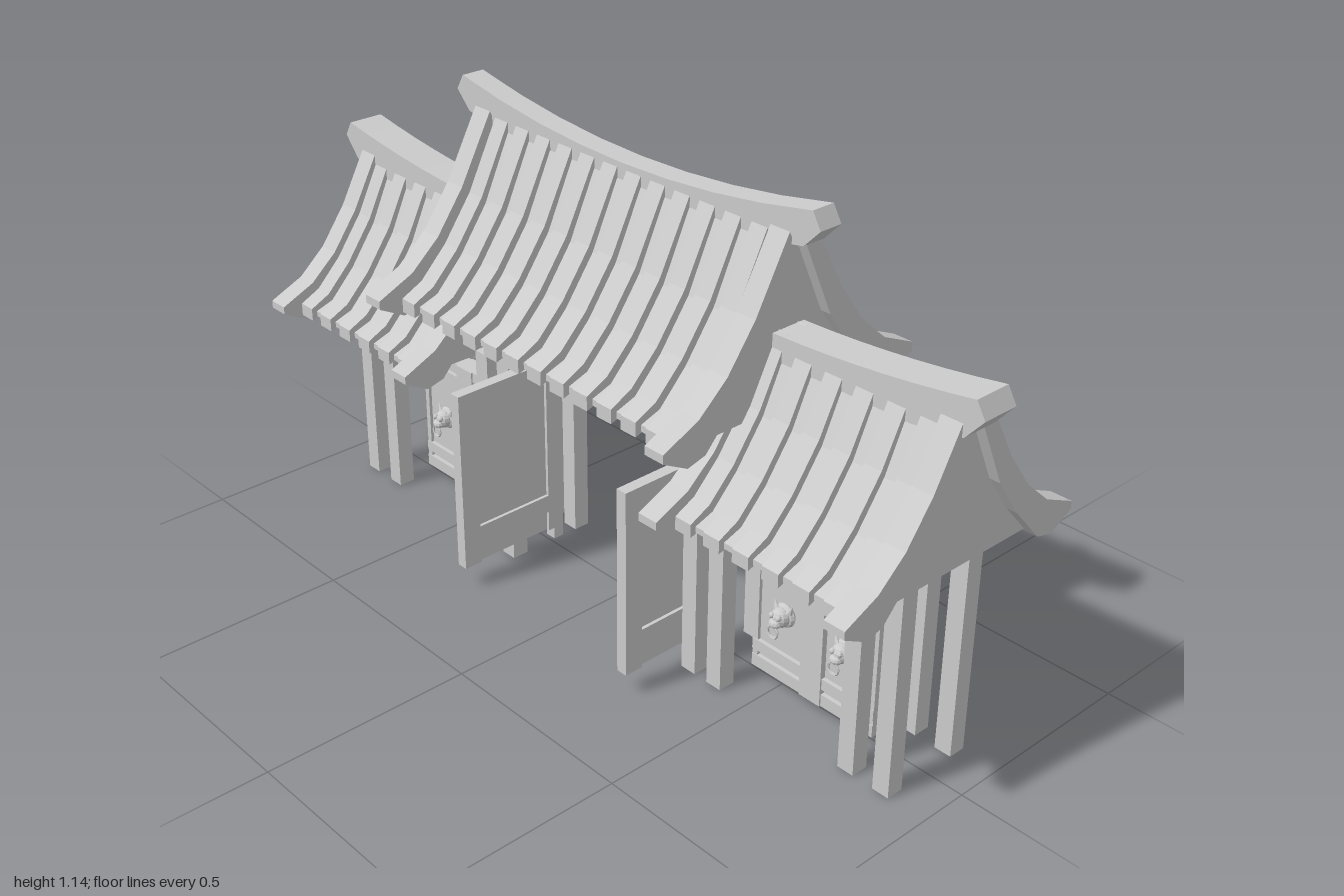
import * as THREE from 'three';

const material = new THREE.MeshStandardMaterial({ color: 0xcccccc, flatShading: true });

function add(parent, name, geometry, x = 0, y = 0, z = 0) {
  const mesh = new THREE.Mesh(geometry, material);
  mesh.name = name;
  mesh.position.set(x, y, z);
  parent.add(mesh);
  return mesh;
}

// Box given by its minimum and maximum on each axis
function box(parent, name, [x0, x1], [y0, y1], [z0, z1]) {
  return add(parent, name, new THREE.BoxGeometry(x1 - x0, y1 - y0, z1 - z0),
    (x0 + x1) / 2, (y0 + y1) / 2, (z0 + z1) / 2);
}

function group(parent, name) {
  const g = new THREE.Group();
  g.name = name;
  parent.add(g);
  return g;
}

function extrude(points, depth) {
  const shape = new THREE.Shape(points.map(([a, b]) => new THREE.Vector2(a, b)));
  const geometry = new THREE.ExtrudeGeometry(shape, { depth, bevelEnabled: false });
  return geometry.translate(0, 0, -depth / 2);
}

// Slab whose (z, y) outline runs along x
const slab = (points, width) => extrude(points, width).rotateY(-Math.PI / 2);

// Roof cross-sections as (z, y), front half
const BODY = [[0.295, 0.685], [0.295, 0.7], [0.245, 0.717], [0.175, 0.79], [0.1, 0.895], [0.03, 1.045]];
const RIB = [[0.31, 0.677], [0.31, 0.71], [0.255, 0.737], [0.185, 0.808], [0.11, 0.912], [0.03, 1.07],
  [0.015, 1.05], [0.09, 0.885], [0.165, 0.785], [0.24, 0.7]];
const VERGE = [[0.298, 0.66], [0.364, 0.695], [0.364, 0.715], [0.27, 0.757], [0.195, 0.823], [0.122, 0.923],
  [0.035, 1.083], [0.015, 1.04], [0.095, 0.866], [0.165, 0.766], [0.25, 0.672]];

const same = (p) => p;
const smaller = ([z, y]) => [z * 0.93, 0.51 + (y - 0.69) * 0.93];

// Solid gabled body, tile ribs on both slopes and thick verges at the ends
function roof(parent, name, fit, x0, x1, ribCount, ribInset) {
  const g = group(parent, name);
  const half = BODY.map(fit);
  const outline = [...half, ...half.map(([z, y]) => [-z, y]).reverse()];
  add(g, 'roofBody', slab(outline, x1 - x0), (x0 + x1) / 2);
  const rib = slab(RIB.map(fit), 0.044);
  const verge = slab(VERGE.map(fit), 0.052);
  for (const turn of [0, Math.PI]) {
    for (let i = 0; i < ribCount; i++) {
      const x = THREE.MathUtils.lerp(x0 + ribInset, x1 - ribInset, i / (ribCount - 1));
      add(g, 'tileRib', rib, x).rotation.y = turn;
    }
    for (const x of [x0, x1]) add(g, 'verge', verge, x).rotation.y = turn;
  }
}

// Ridge beam that sweeps upward, outlined in (x, y)
function ridge(parent, name, x0, x1, topAt, height, width, ends) {
  const top = [], bottom = [];
  for (let i = 0; i <= 8; i++) {
    const x = THREE.MathUtils.lerp(x0, x1, i / 8);
    top.push([x, topAt(x)]);
    const inset = ends[0] * (1 - i / 8) - ends[1] * (i / 8);
    bottom.unshift([x + inset, topAt(x) - height]);
  }
  const rightTip = ends[1] ? [[x1 + 0.022, topAt(x1) - 0.037]] : [];
  const leftTip = ends[0] ? [[x0 - 0.022, topAt(x0) - 0.037]] : [];
  add(parent, name, extrude([...top, ...rightTip, ...bottom, ...leftTip], width));
}

// Animal head knocker facing +z
function knocker(parent, x, y, facing) {
  const g = group(parent, 'knocker');
  g.position.set(x, y, 0.012 * facing);
  if (facing < 0) g.rotation.y = Math.PI;
  add(g, 'mane', new THREE.SphereGeometry(0.03, 12, 8), 0, 0, 0.006).scale.set(1, 0.95, 0.45);
  add(g, 'head', new THREE.SphereGeometry(0.023, 12, 8), 0, 0, 0.018);
  add(g, 'muzzle', new THREE.SphereGeometry(0.014, 10, 6), 0, -0.008, 0.036).scale.set(1.1, 0.8, 0.9);
  for (const s of [-1, 1]) {
    add(g, 'ear', new THREE.ConeGeometry(0.008, 0.02, 6), s * 0.022, 0.025, 0.012).rotation.z = -s * 0.4;
    add(g, 'brow', new THREE.SphereGeometry(0.007, 8, 5), s * 0.01, 0.009, 0.036);
  }
  add(g, 'ring', new THREE.TorusGeometry(0.014, 0.003, 5, 14), 0, -0.027, 0.042);
}

// Framed wall between the side posts
function screen(parent) {
  const g = group(parent, 'screenWall');
  const xs = [0.417, 0.767];
  box(g, 'panel', xs, [0.03, 0.365], [-0.012, 0.012]);
  box(g, 'centreStile', [0.562, 0.622], [0.025, 0.37], [-0.026, 0.026]);
  for (const x of [xs[0], xs[1] - 0.014]) box(g, 'sideStile', [x, x + 0.014], [0.025, 0.37], [-0.02, 0.02]);
  for (const [y0, y1] of [[0.025, 0.055], [0.068, 0.095], [0.307, 0.333], [0.343, 0.37]])
    box(g, 'rail', xs, [y0, y1], [-0.022, 0.022]);
  for (const x of [0.505, 0.679]) for (const f of [-1, 1]) knocker(g, x, 0.197, f);
}

// Gate leaf swung open toward the front
function gateLeaf(parent) {
  const g = group(parent, 'gateLeaf');
  const wide = [0.267, 0.295];
  box(g, 'leafPanel', [0.275, 0.287], [0.055, 0.51], [0.01, 0.285]);
  box(g, 'hingePost', wide, [0.025, 0.515], [-0.014, 0.014]);
  for (const [z0, z1] of [[0.01, 0.03], [0.238, 0.285]]) box(g, 'stile', wide, [0.055, 0.512], [z0, z1]);
  for (const [y0, y1] of [[0.107, 0.153], [0.464, 0.512]]) box(g, 'leafRail', wide, [y0, y1], [0.03, 0.238]);
}

export function createModel() {
  const model = new THREE.Group();
  model.name = 'gatehouse';

  const structure = group(model, 'structure');
  structure.position.x = 0.009;

  // Raised central roof
  roof(structure, 'mainRoof', same, -0.463, 0.463, 12, 0.06);
  ridge(structure, 'mainRidge', -0.54, 0.54, (x) => 1.083 + 0.058 * (x / 0.54) ** 2, 0.08, 0.058, [0.02, 0.02]);

  // Each wing: lower roof, posts, screen wall and open leaf
  for (const side of [1, -1]) {
    const wing = group(structure, side > 0 ? 'leftWing' : 'rightWing');
    wing.scale.x = side;
    roof(wing, 'wingRoof', smaller, 0.418, 0.917, 6, 0.05);
    for (const [x, top] of [[0.877, 0.52], [0.782, 0.52], [0.395, 0.52], [0.316, 0.7]])
      for (const z of [-0.098, 0.098])
        box(wing, 'post', [x - 0.021, x + 0.021], [0, top], [z - 0.021, z + 0.021]);
    screen(wing);
    gateLeaf(wing);

    const crest = group(model, 'wingCrest');
    crest.scale.x = side;
    ridge(crest, 'wingRidge', 0.4, 0.978, (x) => 0.86 + 0.052 * ((x - 0.4) / 0.578) ** 2, 0.088, 0.09, [0, 0.022]);
  }
  return model;
}
